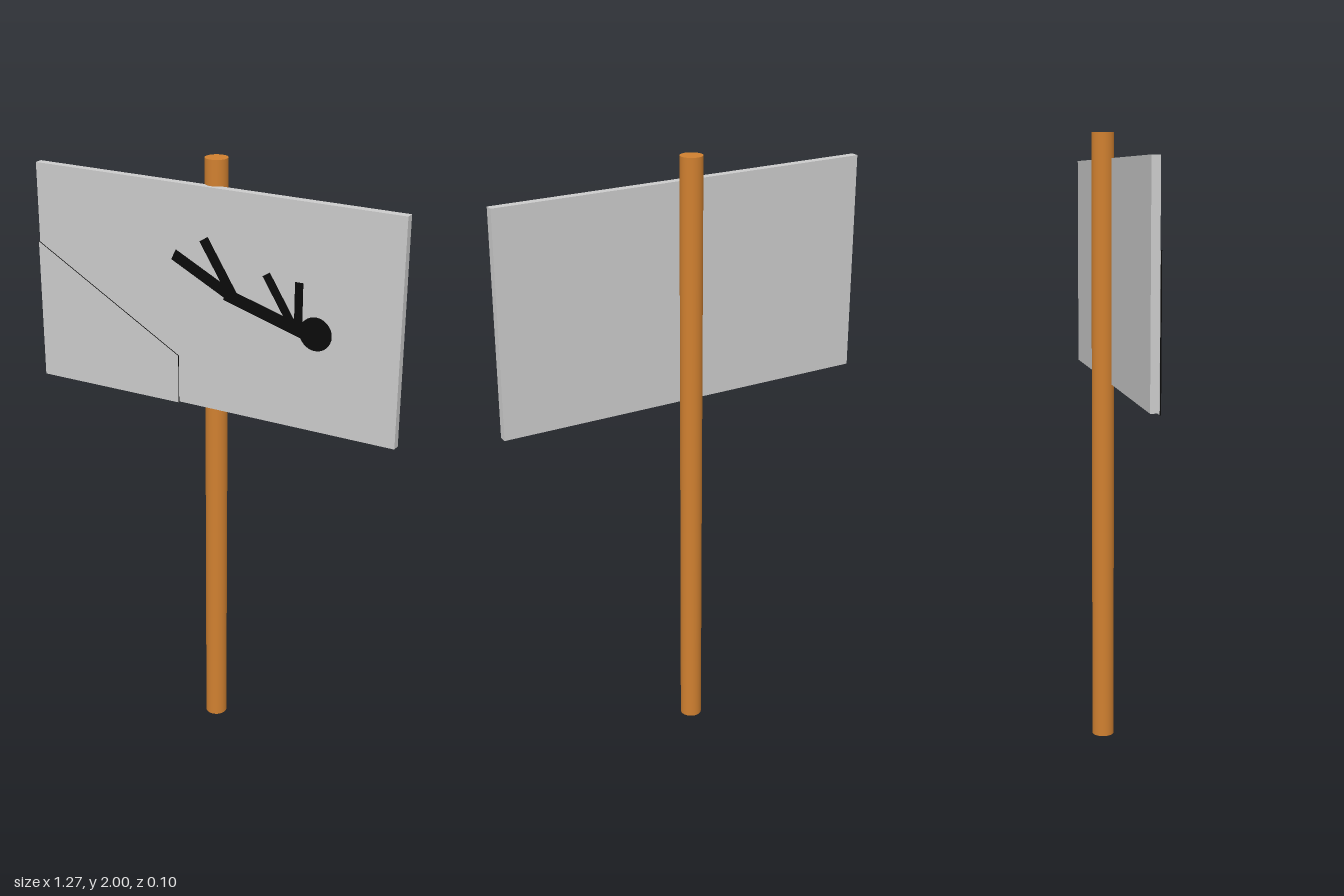
import * as THREE from 'three';

export function createModel() {
  const group = new THREE.Group();
  const grey = new THREE.MeshStandardMaterial({ color: 0xcccccc });
  const wood = new THREE.MeshStandardMaterial({ color: 0xd08030 });
  const black = new THREE.MeshStandardMaterial({ color: 0x0a0a0a });

  const add = (name, geometry, material, x = 0, y = 0, z = 0, parent = group) => {
    const mesh = new THREE.Mesh(geometry, material);
    mesh.name = name;
    mesh.position.set(x, y, z);
    parent.add(mesh);
    return mesh;
  };

  // Wooden post
  add('post', new THREE.CylinderGeometry(0.036, 0.036, 2, 32), wood, -0.005, 1, -0.017);

  // Sign board in front of the post
  add('board', new THREE.BoxGeometry(1.27, 0.72, 0.027), grey, 0, 1.56, 0.0195);

  // Thin ledge panel: grey faces, dark rim
  const ledge = new THREE.Shape([
    new THREE.Vector2(-0.637, 1.195), new THREE.Vector2(-0.115, 1.198),
    new THREE.Vector2(-0.115, 1.36), new THREE.Vector2(-0.637, 1.66),
  ]);
  add('ledgePanel', new THREE.ExtrudeGeometry(ledge, { depth: 0.004, bevelEnabled: false }),
    [grey, black], 0, 0, 0.0335);

  // Falling stick figure, laid flat on the board
  const figure = new THREE.Group();
  figure.name = 'stickFigure';
  group.add(figure);
  const thickness = 0.003;
  const figureZ = 0.047;
  const limb = (name, x1, y1, x2, y2, width) => {
    const length = Math.hypot(x2 - x1, y2 - y1);
    const bar = add(name, new THREE.BoxGeometry(length, width, thickness), black,
      (x1 + x2) / 2, (y1 + y2) / 2, figureZ, figure);
    bar.rotation.z = Math.atan2(y2 - y1, x2 - x1);
  };
  limb('torso', 0.06, 1.6, 0.35, 1.516, 0.04);
  limb('lowerLeg', -0.121, 1.698, 0.085, 1.594, 0.036);
  limb('upperLeg', -0.015, 1.762, 0.086, 1.6, 0.032);
  limb('rearArm', 0.2, 1.685, 0.297, 1.53, 0.027);
  limb('frontArm', 0.31, 1.677, 0.31, 1.52, 0.026);
  const head = add('head', new THREE.CylinderGeometry(0.053, 0.053, thickness, 32), black,
    0.368, 1.525, figureZ, figure);
  head.rotation.x = Math.PI / 2;

  return group;
}
